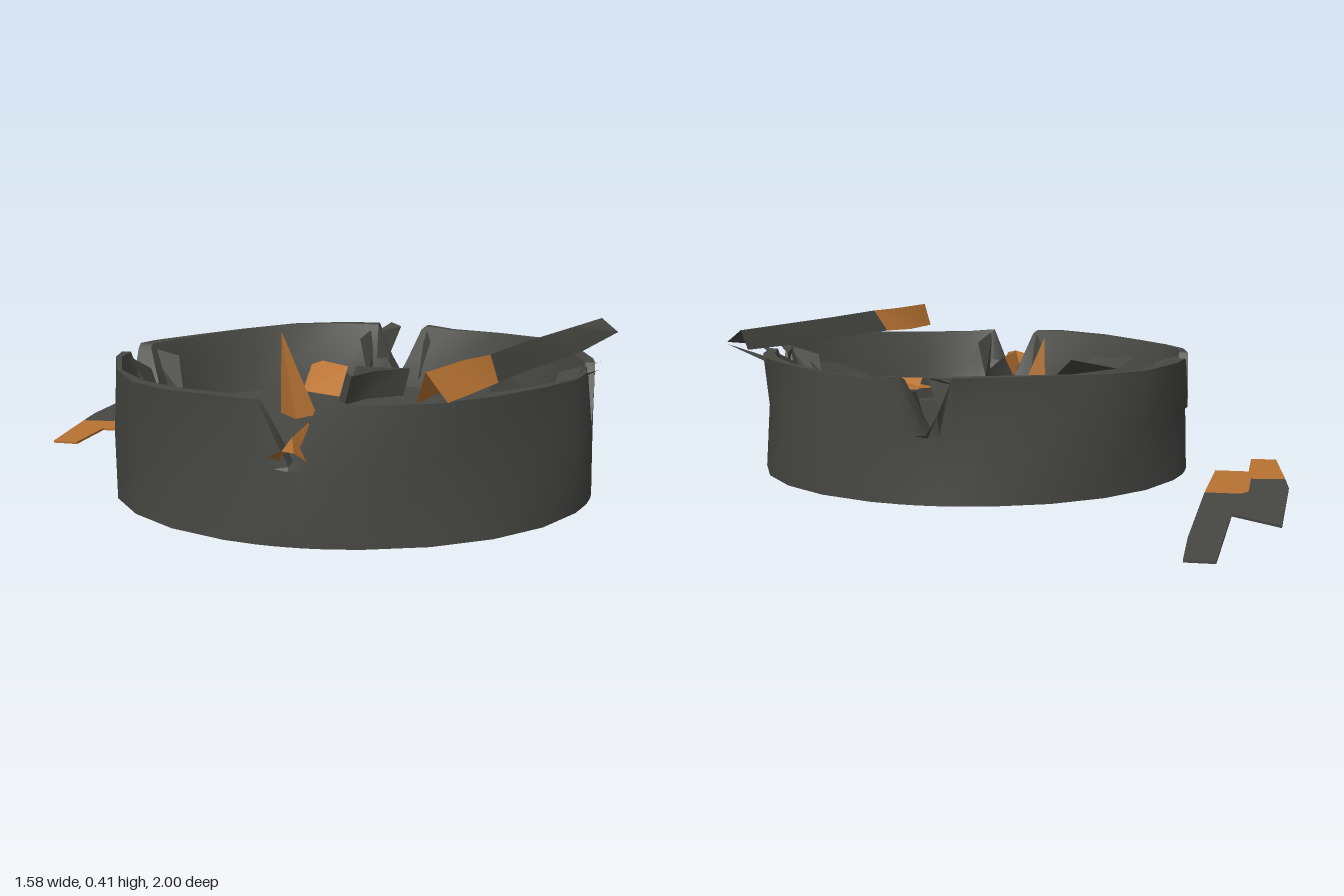
import * as THREE from 'three';
import { toCreasedNormals } from 'three/addons/utils/BufferGeometryUtils.js';

const iron = new THREE.MeshStandardMaterial({ color: 0x474843, side: THREE.DoubleSide });
iron.name = 'darkIron';
const copper = new THREE.MeshStandardMaterial({ color: 0xb87333, side: THREE.DoubleSide });
copper.name = 'copper';

const CX = 0.13, CZ = 0.25, FLOOR = 0.16;
const polar = (a, r, y) => [CX + r * Math.sin(a), y, CZ + r * Math.cos(a)];

// Quad strips joining neighbouring rows of points
function loft(rows) {
  const pos = [];
  for (let i = 0; i < rows.length - 1; i++) {
    for (let j = 0; j < rows[i].length - 1; j++) {
      const a = rows[i][j], b = rows[i + 1][j], c = rows[i + 1][j + 1], d = rows[i][j + 1];
      pos.push(...a, ...b, ...c, ...a, ...c, ...d);
    }
  }
  const g = new THREE.BufferGeometry();
  g.setAttribute('position', new THREE.Float32BufferAttribute(pos, 3));
  return toCreasedNormals(g, 0.6);
}

// Fan of triangles over a convex outline
function sheet(points) {
  const pos = [];
  for (let i = 1; i < points.length - 1; i++) pos.push(...points[0], ...points[i], ...points[i + 1]);
  const g = new THREE.BufferGeometry();
  g.setAttribute('position', new THREE.Float32BufferAttribute(pos, 3));
  g.computeVertexNormals();
  return g;
}

// Bent strip: a path swept by one edge vector
const ribbon = (path, edge) => loft(path.map(p => [p, p.map((v, k) => v + edge[k])]));

export function createModel() {
  const group = new THREE.Group();
  const add = (name, geometry, material) => {
    const mesh = new THREE.Mesh(geometry, material);
    mesh.name = name;
    group.add(mesh);
    return mesh;
  };

  // Dented round wall with a torn notch on each of its four sides
  const columns = [];
  const notch = [[-0.13, 0.335], [-0.11, 0.325], [-0.055, 0.25], [0, 0.185], [0.05, 0.24], [0.11, 0.335]];
  for (let k = 0; k < 24; k++) {
    const a = k * Math.PI / 12;
    if (k % 6 === 0) notch.forEach(([da, top]) => columns.push([a + da, top]));
    else columns.push([a, 0.333 + 0.005 * Math.sin(k * 5)]);
  }
  columns.push([columns[0][0] + Math.PI * 2, columns[0][1]]);
  const wall = columns.map(([a, top]) => {
    const dent = 0.01 * Math.sin(a * 5 + 1);
    return [
      polar(a, 0.62, 0),
      polar(a, 0.615 + dent, Math.min(0.18, top - 0.01)),
      polar(a, 0.62 - dent * 0.6, top),
      polar(a, 0.595 + dent * 0.8, top),
      polar(a, 0.56 + dent, Math.min(0.24, top - 0.005)),
      polar(a, 0.54, FLOOR),
    ];
  });
  add('wall', loft(wall), iron);

  // Base and inner floor
  const disc = (name, r, y, down) => {
    const m = add(name, new THREE.CircleGeometry(r, 24), iron);
    m.rotation.x = down ? Math.PI / 2 : -Math.PI / 2;
    m.position.set(CX, y, CZ);
  };
  disc('base', 0.62, 0, true);
  disc('innerFloor', 0.56, FLOOR, false);

  // Torn flaps folded inward beside the notches
  for (let k = 0; k < 4; k++) {
    for (const s of [-1, 1]) {
      const a = k * Math.PI / 2 + s * 0.12;
      add('tornFlap', sheet([
        polar(a, 0.61, 0.33), polar(a, 0.59, 0.2),
        polar(a + s * 0.03, 0.5, 0.19), polar(a + s * 0.08, 0.53, 0.3),
      ]), iron);
    }
  }
  // Rim splinters bent outward
  for (const [a, r, y] of [[1.58 + 0.11, 0.64, 0.34], [1.47, 0.64, 0.34], [3.2, 0.645, 0.335], [2.08, 0.73, 0.38]]) {
    add('rimSplinter', sheet([polar(a - 0.06, 0.6, 0.33), polar(a, r, y), polar(a + 0.07, 0.59, 0.31), polar(a, 0.6, 0.24)]), iron);
  }
  // Crumpled panel inside the front wall
  add('crumpledPanel', sheet([
    [-0.03, 0.2, 0.72], [-0.1, 0.27, 0.6], [-0.25, 0.25, 0.57], [-0.33, 0.3, 0.66], [-0.25, 0.31, 0.73], [-0.05, 0.22, 0.77],
  ]), iron);

  // Long bent bar lying on the rim, copper at its front end
  const barRows = [
    [[0.42, 0.345, 0.87], [0.44, 0.415, 0.87], [0.49, 0.35, 0.87]],
    [[0.45, 0.345, 0.72], [0.49, 0.415, 0.7], [0.53, 0.35, 0.72]],
    [[0.5, 0.35, 0.61], [0.54, 0.415, 0.6], [0.56, 0.35, 0.6]],
    [[0.57, 0.355, 0.38], [0.6, 0.415, 0.37], [0.62, 0.35, 0.37]],
    [[0.65, 0.355, 0.13], [0.68, 0.415, 0.12], [0.7, 0.35, 0.13]],
    [[0.72, 0.36, -0.07], [0.74, 0.415, -0.07], [0.785, 0.38, -0.06]],
  ];
  add('barCopperEnd', loft(barRows.slice(0, 3)), copper);
  add('bar', loft(barRows.slice(2)), iron);

  // Spike poking out through the front notch
  const spikeRows = [
    [[0.12, 0.18, 0.45], [0.135, 0.25, 0.43], [0.15, 0.18, 0.45]],
    [[0.11, 0.2, 0.73], [0.14, 0.26, 0.73], [0.17, 0.2, 0.73]],
    [[0.11, 0.2, 0.87], [0.14, 0.255, 0.87], [0.175, 0.2, 0.87]],
    [[0.12, 0.24, 1.0], [0.15, 0.25, 0.99], [0.175, 0.245, 0.98]],
  ];
  add('frontSpike', loft(spikeRows.slice(0, 2)), iron);
  add('frontSpikeTip', loft(spikeRows.slice(1)), copper);

  // Upright splinter in the middle of the floor
  const tip = [-0.085, 0.385, 0.18];
  const foot = [[-0.09, FLOOR, 0.17], [-0.03, FLOOR, 0.24], [0.01, FLOOR, 0.17]];
  foot.forEach((p, i) => add('uprightSplinter', sheet([p, foot[(i + 1) % 3], tip]), copper));

  // Curled scrap near the back
  add('scrapPlate', sheet([[-0.09, 0.18, -0.05], [0.02, 0.17, -0.04], [0.02, 0.24, -0.14], [-0.06, 0.25, -0.16], [-0.09, 0.24, -0.15]]), copper);
  add('scrapCurl', ribbon([[0.02, 0.16, -0.04], [0.05, 0.16, 0.02], [0.09, 0.16, -0.08], [0.18, 0.16, -0.15], [0.02, 0.16, -0.15]], [0.02, 0.08, 0]), iron);

  // Half-buried strips scattered over the floor
  const strips = [
    ['copperStrip', copper, [[0.25, 0.17, 0.49], [0.29, 0.2, 0.4], [0.33, 0.21, 0.29]], [0.06, 0.01, 0.01]],
    ['copperStrip', copper, [[0.33, 0.2, 0.34], [0.42, 0.2, 0.34], [0.42, 0.18, 0.42]], [0, 0.03, 0.05]],
    ['copperStrip', copper, [[0.49, 0.18, 0.31], [0.52, 0.22, 0.22], [0.53, 0.23, 0.13]], [0.03, 0.02, 0.02]],
    ['copperStrip', copper, [[-0.31, 0.165, 0.36], [-0.29, 0.17, 0.45], [-0.26, 0.165, 0.52]], [0.04, 0.005, 0]],
    ['copperStrip', copper, [[-0.22, 0.165, 0.42], [-0.18, 0.175, 0.49], [-0.09, 0.17, 0.49]], [0.03, 0.01, 0.03]],
    ['copperStrip', copper, [[-0.09, 0.165, 0.44], [-0.07, 0.18, 0.5]], [0.02, 0.01, 0]],
    ['ironStrip', iron, [[0.13, 0.16, 0.49], [0.3, 0.16, 0.47], [0.44, 0.16, 0.33], [0.56, 0.17, 0.14]], [0.01, 0.06, 0]],
    ['ironStrip', iron, [[0.43, 0.16, -0.05], [0.47, 0.16, 0.02], [0.52, 0.16, 0.11]], [0.03, 0.1, 0]],
    ['ironStrip', iron, [[0.26, 0.16, 0.12], [0.31, 0.16, 0.15]], [0.01, 0.07, -0.04]],
    ['ironStrip', iron, [[0.5, 0.16, 0.5], [0.58, 0.2, 0.42], [0.62, 0.22, 0.28]], [0.05, 0.06, 0.05]],
  ];
  strips.forEach(([name, material, path, edge]) => add(name, ribbon(path, edge), material));

  // Flat broken shard lying off to the side, in iron and copper pieces
  const shard = (name, outline, material) => {
    const shape = new THREE.Shape(outline.map(([x, z]) => new THREE.Vector2(x, -z)));
    const m = add(name, new THREE.ExtrudeGeometry(shape, { depth: 0.006, bevelEnabled: false }), material);
    m.rotation.x = -Math.PI / 2;
    m.position.y = 0.044;
  };
  shard('shard', [[-0.65, -1], [-0.58, -1], [-0.575, -0.8], [-0.58, -0.3], [-0.67, -0.3], [-0.69, -0.27], [-0.69, -0.1],
    [-0.78, -0.09], [-0.79, -0.2], [-0.78, -0.64], [-0.66, -0.54]], iron);
  shard('shardCopperEnd', [[-0.58, -0.3], [-0.59, 0], [-0.68, 0], [-0.68, 0.19], [-0.75, 0.19], [-0.78, -0.09],
    [-0.69, -0.1], [-0.69, -0.27], [-0.67, -0.3]], copper);

  return group;
}
